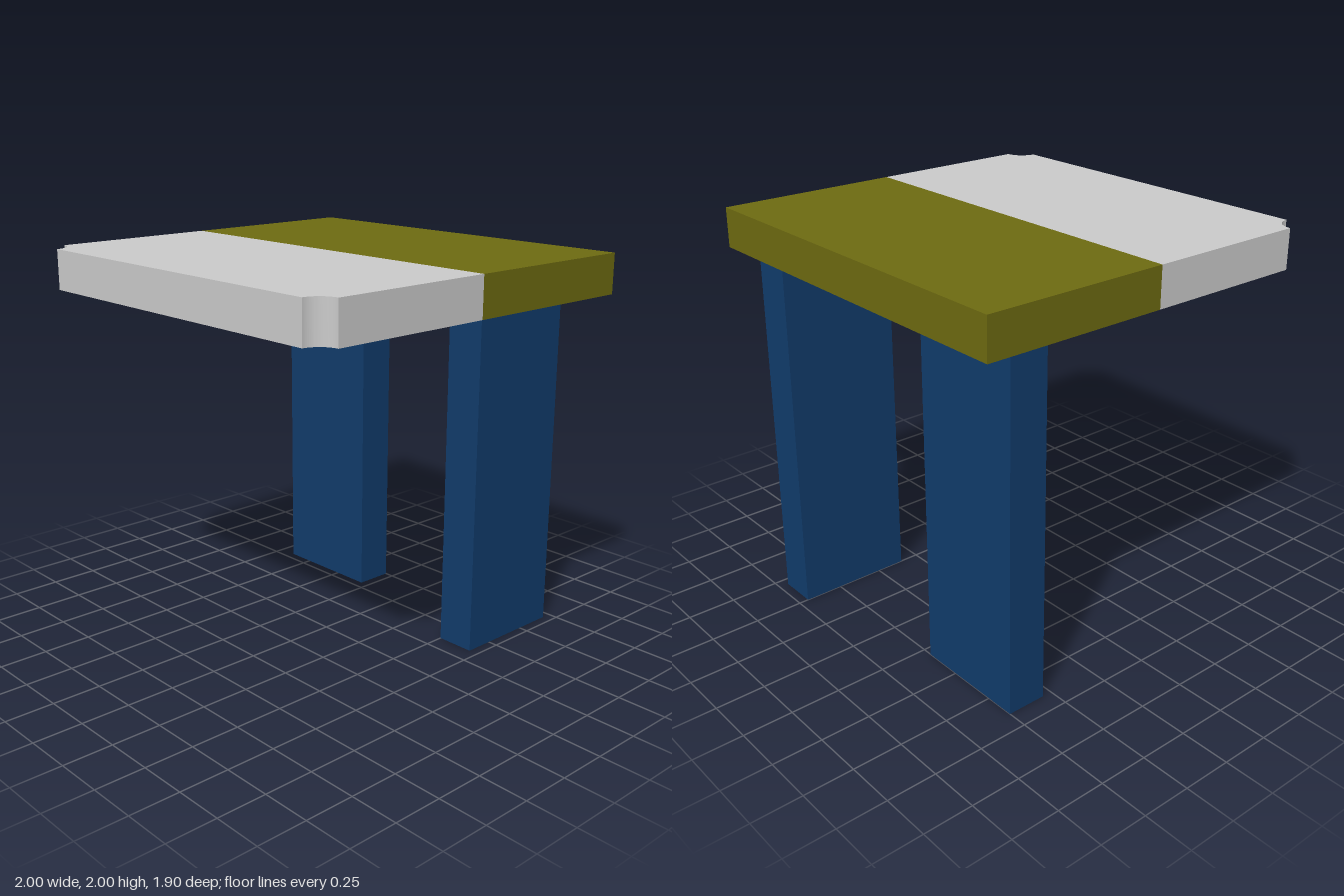
import * as THREE from 'three';
import { toCreasedNormals } from 'three/addons/utils/BufferGeometryUtils.js';

const grey = new THREE.MeshStandardMaterial({ color: 0xcccccc });
const olive = new THREE.MeshStandardMaterial({ color: 0x6e6b11 });
const blue = new THREE.MeshStandardMaterial({ color: 0x113c6c });

const HALF_W = 1, HALF_D = 0.95, TOP = 2, THICK = 0.2, NOTCH = 0.1;

// Box given by its lower and upper corners
function box(name, material, [x0, y0, z0], [x1, y1, z1]) {
  const mesh = new THREE.Mesh(new THREE.BoxGeometry(x1 - x0, y1 - y0, z1 - z0), material);
  mesh.position.set((x0 + x1) / 2, (y0 + y1) / 2, (z0 + z1) / 2);
  mesh.name = name;
  return mesh;
}

// Front half of the top, with a concave quarter-round cut from each front corner
function frontTop() {
  const s = new THREE.Shape();
  s.moveTo(-HALF_W, 0);
  s.lineTo(HALF_W, 0);
  s.lineTo(HALF_W, HALF_D - NOTCH);
  s.absarc(HALF_W, HALF_D, NOTCH, -Math.PI / 2, -Math.PI, true);
  s.lineTo(-HALF_W + NOTCH, HALF_D);
  s.absarc(-HALF_W, HALF_D, NOTCH, 0, -Math.PI / 2, true);
  s.closePath();
  const geo = new THREE.ExtrudeGeometry(s, { depth: THICK, bevelEnabled: false, curveSegments: 16 });
  geo.rotateX(Math.PI / 2); // shape y becomes z, extrusion runs downward
  const mesh = new THREE.Mesh(toCreasedNormals(geo, 0.5), grey);
  mesh.position.y = TOP;
  mesh.name = 'frontTop';
  return mesh;
}

export function createModel() {
  const model = new THREE.Group();
  model.name = 'table';
  const under = TOP - THICK;
  model.add(
    frontTop(),
    box('backTop', olive, [-HALF_W, under, -HALF_D], [HALF_W, TOP, 0]),
    // Two slab legs set at right angles to each other
    box('rightLeg', blue, [-0.9, 0, -0.75], [-0.3, under, -0.55]),
    box('leftLeg', blue, [0.5, 0, -0.95], [0.7, under, -0.35]),
  );
  return model;
}
